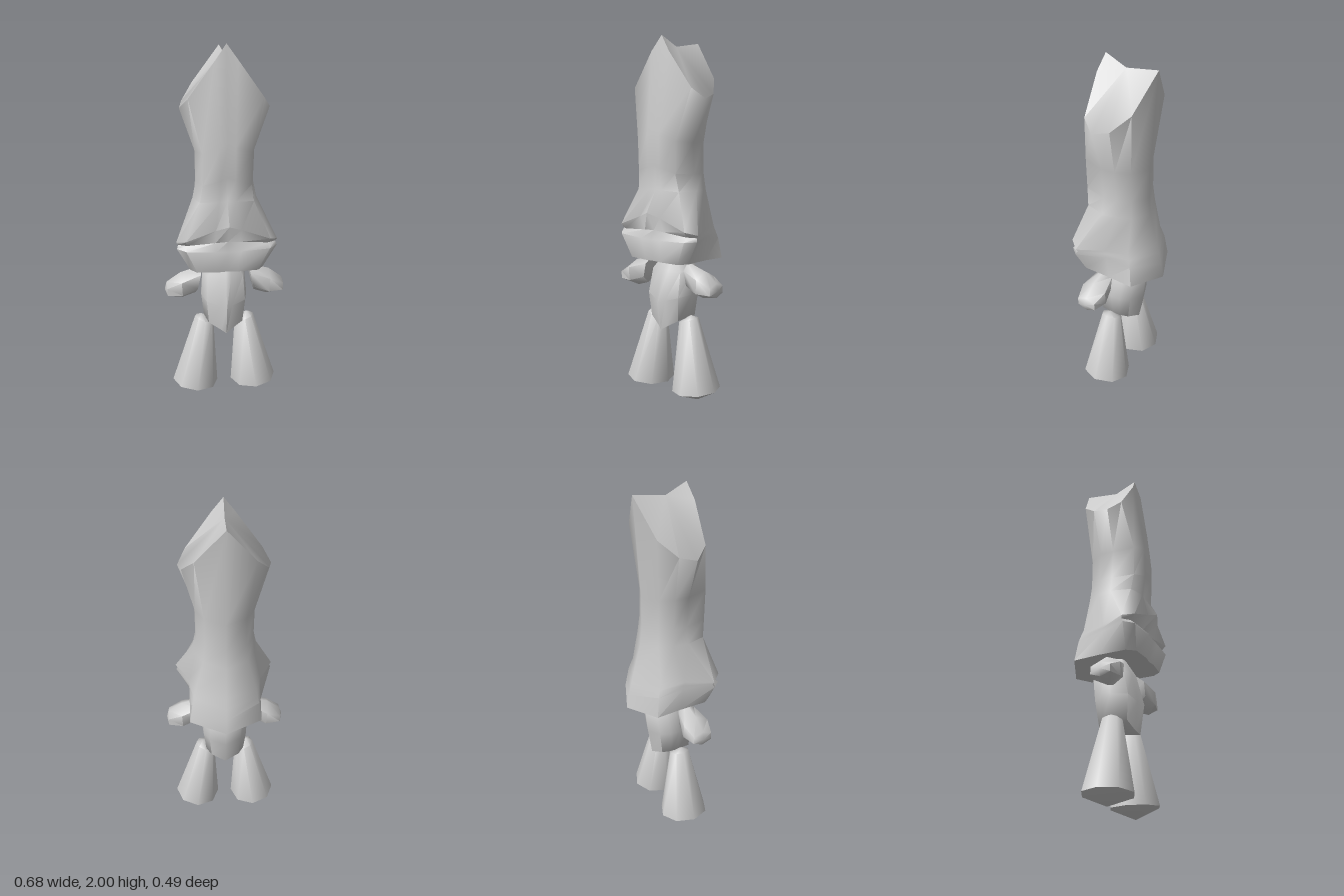
import * as THREE from 'three';
import { toCreasedNormals } from 'three/addons/utils/BufferGeometryUtils.js';

const material = new THREE.MeshStandardMaterial({ color: 0xcccccc });

// Skin equal-length rings of [x, y, z] from start to end, closing each end with a fan to a point.
function loft(name, rings, start, end, side = 1, crease = 1.1) {
  const n = rings[0].length;
  const flip = ([x, y, z]) => [x * side, y, z];
  const all = rings.map((r) => (side < 0 ? r.map(flip).reverse() : r));
  const pts = [...all.flat(), flip(start), flip(end)];
  const s = n * all.length, e = s + 1, index = [];
  for (let j = 0; j < n; j++) {
    const k = (j + 1) % n;
    index.push(s, j, k);
    for (let i = 0; i < all.length - 1; i++) {
      const a = i * n + j, b = i * n + k;
      index.push(a, a + n, b, b, a + n, b + n);
    }
    index.push(e, s - n + k, s - n + j);
  }
  const g = new THREE.BufferGeometry();
  g.setAttribute('position', new THREE.Float32BufferAttribute(pts.flat(), 3));
  g.setIndex(index);
  const mesh = new THREE.Mesh(toCreasedNormals(g, crease), material);
  mesh.name = name;
  return mesh;
}

// Twelve-sided symmetric ring: half widths, then depths and heights at front, side and back.
function bodyRing([w, xRear, xBack, zNose, zF, zS, zB, yF, yS, yB]) {
  const across = [0, 0.25, 0.83, 1, 0.92, 0.64, 0];
  const along = [1, 1.05, 0.85, 0, -0.4, -0.77, -1];
  const half = across.map((a, i) => {
    const x = i === 4 ? xRear : i === 5 ? xBack : a * w;
    const t = along[i];
    const z = i === 0 ? zNose : zS + (t > 0 ? t * (zF - zS) : -t * (zB - zS));
    const y = yS + (1 - a) * ((t >= 0 ? yF : yB) - yS);
    return [x, y, z];
  });
  const mirrored = half.slice(1, 6).reverse().map(([x, y, z]) => [-x, y, z]);
  return [...half, ...mirrored];
}

// Horizontal oval ring for a leg; tilt raises its outer edge.
function legRing(x, y, z, rx, rz, tilt) {
  return Array.from({ length: 8 }, (_, i) => {
    const a = (i / 8) * Math.PI * 2;
    return [x + Math.sin(a) * rx, y + Math.sin(a) * tilt, z + Math.cos(a) * rz];
  });
}

// Upright hexagonal ring for an arm, between an upper and a lower point.
function armRing(xt, yt, xb, yb, rz) {
  return Array.from({ length: 6 }, (_, i) => {
    const a = (i / 6) * Math.PI * 2;
    const t = (1 - Math.cos(a)) / 2;
    return [xt + (xb - xt) * t, yt + (yb - yt) * t, 0.055 - Math.sin(a) * rz * 1.15];
  });
}

export function createModel() {
  const model = new THREE.Group();

  // Tall head with a notched crown, flared mouth and pointed back
  const head = [
    [0.24, 0.22, 0.155, 0.12, 0.13, 0.05, -0.185, 2.0, 1.67, 1.97],
    [0.16, 0.155, 0.11, 0.185, 0.187, 0.05, -0.145, 1.5, 1.44, 1.42],
    [0.157, 0.152, 0.11, 0.18, 0.185, 0.04, -0.145, 1.32, 1.27, 1.25],
    [0.175, 0.16, 0.12, 0.17, 0.17, 0.04, -0.155, 1.19, 1.18, 1.15],
    [0.275, 0.2, 0.17, 0.245, 0.215, 0.15, -0.2, 1.07, 0.965, 0.98],
    [0.265, 0.2, 0.175, 0.19, 0.185, 0.145, -0.215, 0.97, 0.95, 0.92],
    [0.272, 0.2, 0.185, 0.215, 0.215, 0.155, -0.23, 0.92, 0.93, 0.85],
    [0.2, 0.2, 0.2, 0.19, 0.195, 0.14, -0.245, 0.8, 0.8, 0.77],
  ];
  model.add(loft('head', head.map(bodyRing), [0, 1.945, 0], [0, 0.84, 0.04]));

  // Torso, drawn to a keel at the lower front
  const torso = [
    [0.04, 0.04, 0.03, 0.05, 0.05, 0.02, -0.05, 0.83, 0.83, 0.81],
    [0.12, 0.115, 0.08, 0.115, 0.1, 0.0, -0.13, 0.73, 0.73, 0.7],
    [0.13, 0.125, 0.09, 0.16, 0.13, 0.02, -0.115, 0.56, 0.6, 0.57],
    [0.115, 0.11, 0.08, 0.135, 0.115, 0.02, -0.09, 0.4, 0.47, 0.42],
  ];
  model.add(loft('torso', torso.map(bodyRing), [0, 0.84, 0.01], [0, 0.415, 0.02]));

  // Paired limbs
  for (const [side, label] of [[1, 'left'], [-1, 'right']]) {
    const arm = [
      armRing(0.13, 0.79, 0.165, 0.63, 0.05),
      armRing(0.25, 0.755, 0.24, 0.605, 0.075),
      armRing(0.325, 0.7, 0.325, 0.62, 0.055),
    ];
    model.add(loft(label + 'Arm', arm, [0.145, 0.71, 0.055], [0.338, 0.66, 0.055], side));

    const leg = [
      legRing(0.115, 0.455, 0.028, 0.053, 0.057, 0.015),
      legRing(0.17, 0.065, 0.03, 0.13, 0.14, 0.01),
    ];
    model.add(loft(label + 'Leg', leg, [0.13, 0.485, 0.03], [0.18, 0.005, 0.03], side));
  }

  // Stand on the ground
  model.position.y = -0.005;
  return model;
}
